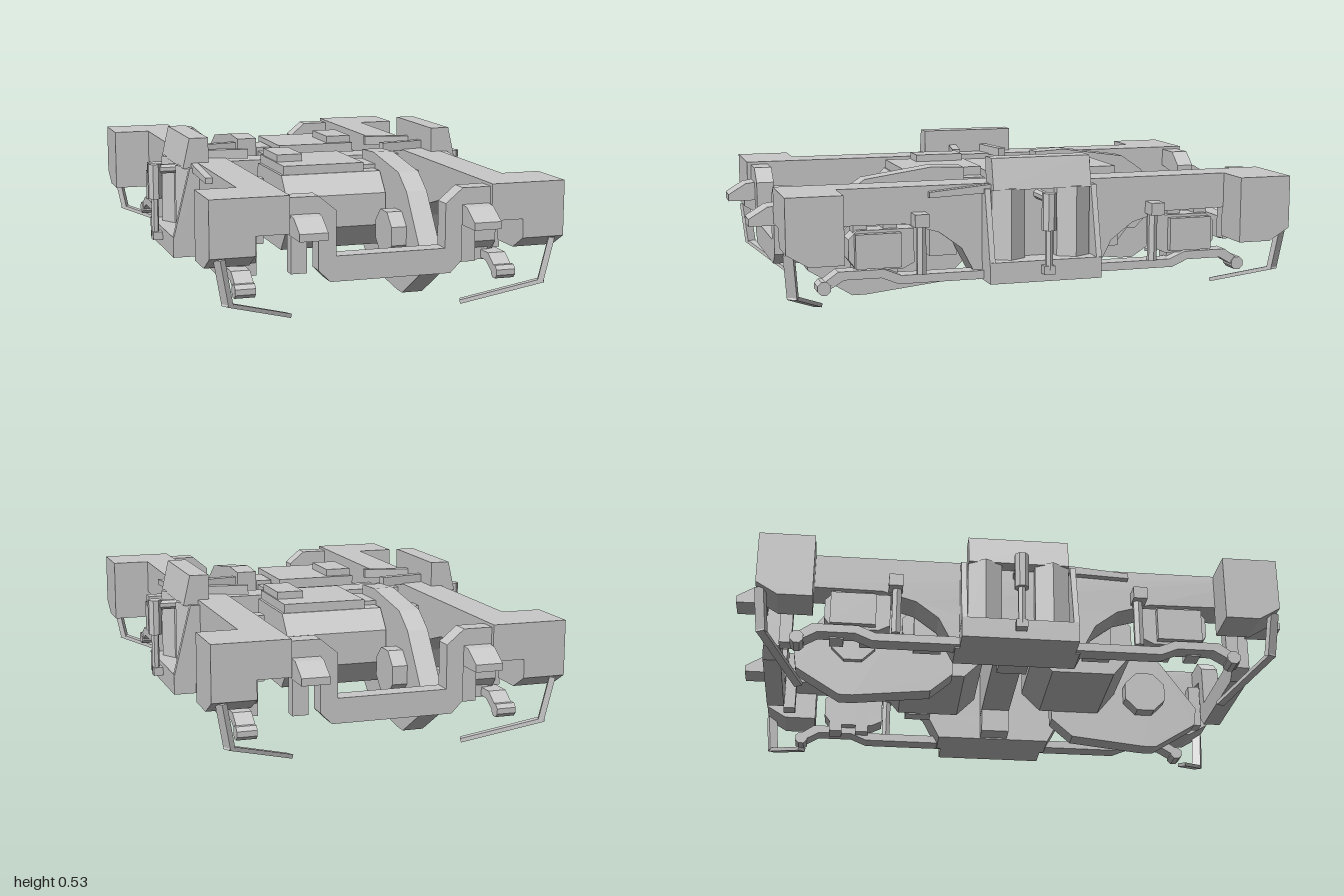
import * as THREE from 'three';

const steel = new THREE.MeshStandardMaterial({ color: 0xc9c9c9 });
steel.name = 'light grey steel';

const add = (group, name, geo) => {
  const mesh = new THREE.Mesh(geo, steel);
  mesh.name = name;
  group.add(mesh);
  return mesh;
};

// Box from its limits; x limits are multiplied by the side s
const box = (g, name, s, x0, x1, y0, y1, z0, z1) =>
  add(g, name, new THREE.BoxGeometry(x1 - x0, y1 - y0, z1 - z0)
    .translate(s * (x0 + x1) / 2, (y0 + y1) / 2, (z0 + z1) / 2));

const shapeOf = (pts) => new THREE.Shape(pts.map(([a, b]) => new THREE.Vector2(a, b)));

// Profile of [z, y] points pushed along x between x0 and x1
const slabX = (g, name, s, x0, x1, pts) => {
  const geo = new THREE.ExtrudeGeometry(shapeOf(pts), { depth: x1 - x0, bevelEnabled: false });
  geo.rotateY(-Math.PI / 2).translate(s > 0 ? x1 : -x0, 0, 0);
  return add(g, name, geo);
};

// Profile of [x, y] points pushed along z between z0 and z1
const slabZ = (g, name, z0, z1, pts) =>
  add(g, name, new THREE.ExtrudeGeometry(shapeOf(pts), { depth: z1 - z0, bevelEnabled: false })
    .translate(0, 0, z0));

// Upright prism with flat facets
const prism = (r, length, sides) => {
  const geo = new THREE.CylinderGeometry(r, r, length, sides).rotateY(Math.PI / sides).toNonIndexed();
  geo.computeVertexNormals();
  return geo;
};

// Faceted drum lying along x
const drumX = (g, name, s, x0, x1, y, z, r) =>
  add(g, name, prism(r, x1 - x0, 8).rotateZ(Math.PI / 2).translate(s * (x0 + x1) / 2, y, z));

// Faceted post standing upright
const post = (g, name, x, y0, y1, z, r, sides) =>
  add(g, name, prism(r, y1 - y0, sides).translate(x, (y0 + y1) / 2, z));

// Flat bar between two points
const bar = (g, name, a, b, w, h) => {
  const p = new THREE.Vector3(...a), q = new THREE.Vector3(...b);
  const mesh = add(g, name, new THREE.BoxGeometry(w, h, p.distanceTo(q)));
  mesh.position.copy(p).lerp(q, 0.5);
  mesh.lookAt(q);
  return mesh;
};

// Everything that belongs to one end
function endAssembly() {
  const g = new THREE.Group();

  // Dropped end bar
  const half = [[0.36, 0.435], [0.25, 0.435], [0.19, 0.385], [0.19, 0.235]];
  const outer = [[0.21, 0.15], [0.25, 0.19], [0.25, 0.35], [0.36, 0.37]];
  const flip = (pts) => pts.map(([x, y]) => [-x, y]).reverse();
  slabZ(g, 'endBar', 0.835, 0.9, [...half, ...flip(half), ...flip(outer), ...outer]);

  for (const s of [1, -1]) {
    // Corner block with chamfered underside
    slabX(g, 'cornerBlock', s, 0.465, 0.615,
      [[0.72, 0.445], [0.915, 0.445], [0.915, 0.255], [0.84, 0.21], [0.72, 0.21]]);

    // End bracket and pads
    slabX(g, 'endBracket', s, 0.25, 0.345,
      [[0.89, 0.38], [0.935, 0.375], [1, 0.335], [1, 0.31], [0.89, 0.31]]);
    box(g, 'endPad', s, 0.27, 0.325, 0.17, 0.34, 0.795, 0.84);
    box(g, 'innerBracket', s, 0.25, 0.36, 0.33, 0.39, 0.205, 0.265);
    box(g, 'innerPad', s, 0.28, 0.335, 0.17, 0.35, 0.26, 0.36);

    // Cranked guard iron
    bar(g, 'guardIronUpper', [s * 0.58, 0.25, 0.9], [s * 0.55, 0.095, 0.885], 0.035, 0.02);
    bar(g, 'guardIronLower', [s * 0.56, 0.1, 0.89], [s * 0.31, 0.012, 0.76], 0.03, 0.014);

    // Axle box with cap and hanging posts
    slabX(g, 'axleBox', s, 0.395, 0.475,
      [[0.45, 0.3], [0.65, 0.3], [0.68, 0.27], [0.68, 0.2], [0.65, 0.16], [0.49, 0.16], [0.45, 0.18]]);
    box(g, 'axleCap', s, 0.47, 0.5, 0.17, 0.29, 0.5, 0.66);
    for (const z of [0.53, 0.635]) box(g, 'axlePost', s, 0.39, 0.455, 0.13, 0.33, z - 0.025, z + 0.025);

    // Small vertical damper between beam and link
    post(g, 'damper', s * 0.495, 0.14, 0.33, 0.43, 0.018, 6);
    box(g, 'damperTop', s, 0.46, 0.535, 0.31, 0.355, 0.41, 0.46);

    // Lower link from spring seat to axle end
    slabX(g, 'lowerLink', s, 0.43, 0.495,
      [[0.2, 0.14], [0.5, 0.14], [0.56, 0.165], [0.72, 0.165], [0.77, 0.13],
        [0.76, 0.1], [0.7, 0.135], [0.57, 0.135], [0.51, 0.11], [0.2, 0.11]]);
    drumX(g, 'linkEnd', s, 0.43, 0.5, 0.11, 0.77, 0.025);

    // Slanted rib on top of the frame
    bar(g, 'topRib', [s * 0.265, 0.458, 0.095], [s * 0.435, 0.458, 0.065], 0.03, 0.034);

    // Spring
    post(g, 'spring', s * 0.475, 0.17, 0.43, 0.12, 0.07, 6);
  }

  // Motor housing with top covers
  slabX(g, 'motor', 1, -0.225, 0.145,
    [[0.1, 0.42], [0.4, 0.42], [0.46, 0.35], [0.46, 0.235], [0.39, 0.15], [0.16, 0.15], [0.09, 0.22], [0.09, 0.4]]);
  box(g, 'motorCover', 1, -0.215, 0.085, 0.41, 0.452, 0.095, 0.395);
  box(g, 'terminalBox', 1, -0.21, -0.115, 0.44, 0.478, 0.115, 0.295);
  box(g, 'motorFlange', 1, 0.09, 0.15, 0.3, 0.435, 0.19, 0.34);
  box(g, 'motorBracket', 1, 0.075, 0.135, 0.3, 0.4, 0.03, 0.2);

  // Gearbox and its hubs
  slabX(g, 'gearbox', 1, 0.15, 0.225,
    [[0.2, 0.47], [0.32, 0.476], [0.57, 0.44], [0.65, 0.385], [0.79, 0.19],
      [0.78, 0.12], [0.62, 0.02], [0.57, 0.02], [0.29, 0.05], [0.21, 0.12]]);
  drumX(g, 'axleHub', 1, 0.095, 0.245, 0.23, 0.575, 0.085);
  drumX(g, 'motorShaftHub', 1, 0.14, 0.245, 0.3, 0.33, 0.075);
  return g;
}

export function createModel() {
  const model = new THREE.Group();
  model.name = 'bogie';

  const front = endAssembly();
  front.name = 'frontEnd';
  const rear = endAssembly();
  rear.name = 'rearEnd';
  rear.rotation.y = Math.PI;
  model.add(front, rear);

  // Transom joining the side beams
  box(model, 'transom', 1, -0.36, 0.36, 0.2, 0.425, -0.055, 0.055);

  for (const s of [1, -1]) {
    // Side beam, deepening in a curve toward the middle
    const lower = [[0.915, 0.32], [0.48, 0.315], [0.36, 0.28], [0.28, 0.22], [0.22, 0.105]];
    slabX(model, 'sideBeam', s, 0.35, 0.475,
      [[-0.915, 0.445], [0.915, 0.445], ...lower, ...lower.map(([z, y]) => [-z, y]).reverse()]);
    box(model, 'transomFoot', s, 0.274, 0.36, 0.11, 0.21, -0.054, 0.054);

    // Spring seat, splayed end guards and hood
    box(model, 'springSeat', s, 0.46, 0.575, 0.105, 0.18, -0.205, 0.205);
    const hood = [[0.435, 0.535], [0.435, 0.425], [0.53, 0.425], [0.505, 0.535]];
    slabZ(model, 'springHood', -0.18, 0.18, hood.map(([x, y]) => [s * x, y]));
    const guard = [[0.46, 0.43], [0.51, 0.43], [0.575, 0.17], [0.46, 0.17]];
    for (const z of [-0.196, 0.196]) {
      slabZ(model, 'springGuard', z - 0.01, z + 0.01, guard.map(([x, y]) => [s * x, y]));
    }

    // Vertical damper in the middle
    drumX(model, 'damperPin', s, 0.47, 0.6, 0.4, 0, 0.018);
    post(model, 'centreDamper', s * 0.598, 0.29, 0.42, 0, 0.026, 8);
    post(model, 'centreDamperRod', s * 0.598, 0.15, 0.3, 0, 0.014, 6);
    box(model, 'centreDamperFoot', s, 0.56, 0.61, 0.135, 0.165, -0.02, 0.02);

    // Tapering fin beside the hood
    slabX(model, 'hoodFin', s, 0.47, 0.5, [[0.17, 0.445], [0.4, 0.425], [0.4, 0.405], [0.17, 0.415]]);
  }
  return model;
}
